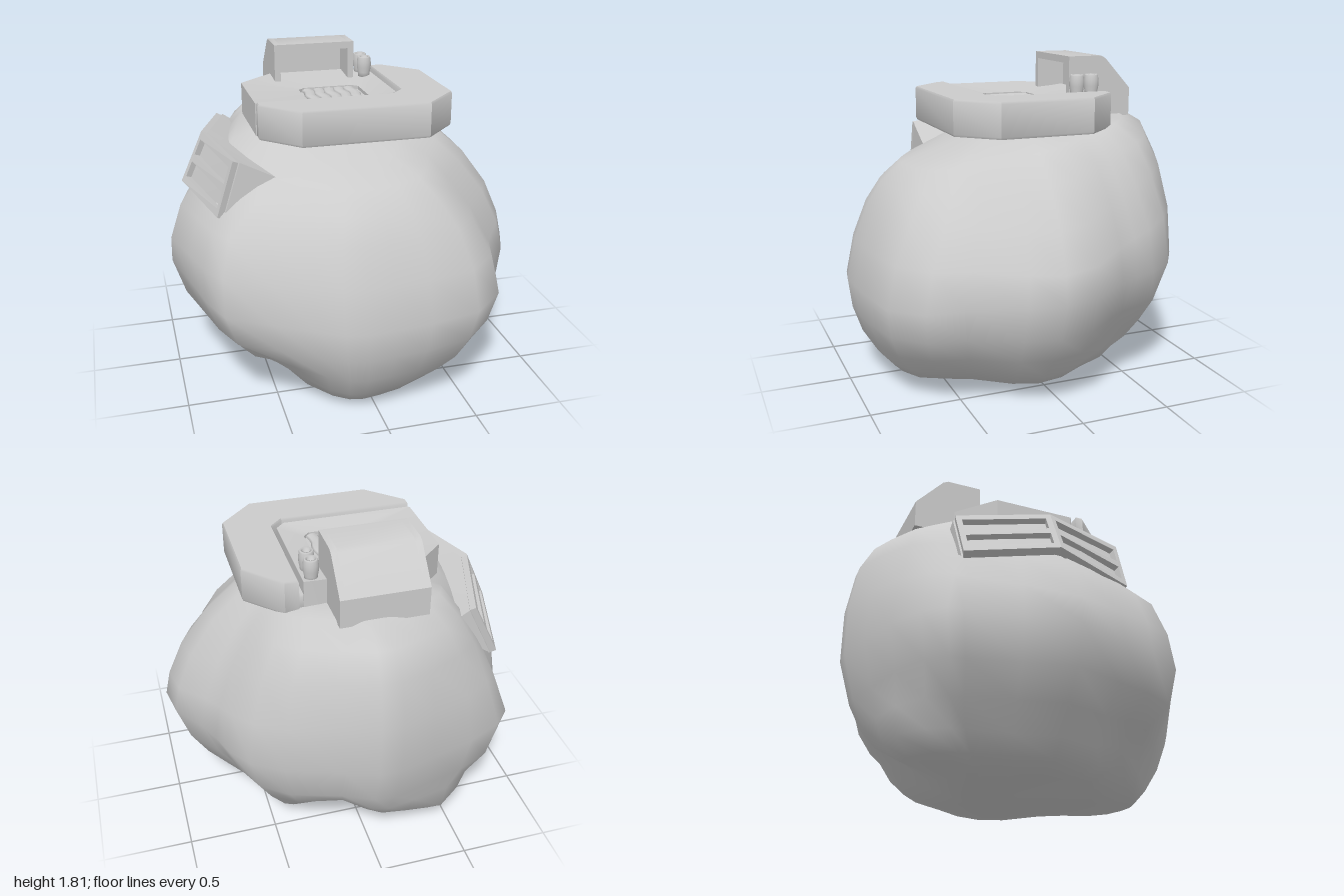
import * as THREE from 'three';
import { toCreasedNormals } from 'three/addons/utils/BufferGeometryUtils.js';

const grey = new THREE.MeshStandardMaterial({ color: 0xcccccc });

// Skin a stack of closed rings; both ends close on a point.
function loft(rings, start, end) {
  const n = rings[0].length, pos = [], idx = [];
  rings.forEach(r => r.forEach(p => pos.push(...p)));
  pos.push(...start, ...end);
  const s = rings.length * n, e = s + 1, last = s - n;
  for (let i = 0; i < n; i++) {
    const j = (i + 1) % n;
    for (let k = 0; k < rings.length - 1; k++) {
      const a = k * n + i, b = k * n + j;
      idx.push(a, a + n, b + n, a, b + n, b);
    }
    idx.push(i, j, s, last + i, e, last + j);
  }
  const g = new THREE.BufferGeometry();
  g.setAttribute('position', new THREE.Float32BufferAttribute(pos, 3));
  g.setIndex(idx);
  g.computeVertexNormals();
  return g;
}

// Upright prism from a plan outline of [x, z] points, with softened rims.
function slab(points, y0, y1) {
  const shape = new THREE.Shape(points.map(([x, z]) => new THREE.Vector2(x, -z)));
  const g = new THREE.ExtrudeGeometry(shape, {
    depth: y1 - y0 - 0.024, bevelEnabled: true, bevelThickness: 0.012,
    bevelSize: 0.006, bevelOffset: -0.006, bevelSegments: 1 });
  return toCreasedNormals(g.rotateX(-Math.PI / 2).translate(0, y0 + 0.012, 0), 0.6);
}

// Prism along x from a side profile of [z, y] points.
function sideExtrude(points, x0, x1) {
  const shape = new THREE.Shape(points.map(([z, y]) => new THREE.Vector2(-z, y)));
  const g = new THREE.ExtrudeGeometry(shape, { depth: x1 - x0, bevelEnabled: false });
  return toCreasedNormals(g.rotateY(Math.PI / 2).translate(x0, 0, 0), 0.7);
}

function rockGeometry() {
  // Plan outline, clockwise from the back
  const outline = [
    [-0.1, -0.98], [0.02, -0.97], [0.2, -0.9], [0.49, -0.8], [0.66, -0.69], [0.76, -0.54],
    [0.8, -0.42], [0.85, -0.3], [0.97, -0.1], [1, 0.1], [0.93, 0.28], [0.78, 0.55], [0.71, 0.75],
    [0.53, 0.9], [0.25, 0.95], [0.05, 0.965], [-0.1, 0.975], [-0.22, 0.955], [-0.35, 0.89],
    [-0.56, 0.78], [-0.79, 0.66], [-0.87, 0.48], [-0.92, 0.28], [-1, 0], [-0.92, -0.28],
    [-0.83, -0.55], [-0.82, -0.63], [-0.74, -0.74], [-0.55, -0.85], [-0.3, -0.92]];
  // Per ring: right reach, left reach, side height, front reach and height, back reach and height
  const levels = [
    [0.45, 0.48, 0.035, 0.5, 0.03, 0.45, 0.03],
    [0.6, 0.64, 0.065, 0.75, 0.04, 0.7, 0.08],
    [0.71, 0.73, 0.15, 0.82, 0.12, 0.8, 0.17],
    [0.84, 0.81, 0.3, 0.9, 0.25, 0.86, 0.3],
    [0.93, 0.93, 0.45, 0.95, 0.4, 0.91, 0.45],
    [1, 1, 0.66, 0.97, 0.57, 0.975, 0.7],
    [0.97, 1, 0.8, 0.92, 0.8, 0.975, 1],
    [0.89, 0.94, 1, 0.84, 1, 0.93, 1.25],
    [0.75, 0.78, 1.21, 0.76, 1.13, 0.85, 1.4],
    [0.58, 0.63, 1.36, 0.65, 1.23, 0.7, 1.485],
    [0.36, 0.45, 1.43, 0.42, 1.31, 0.5, 1.475],
    [0.15, 0.2, 1.45, 0.15, 1.43, 0.25, 1.46]];
  // Hollows and (negative depth) bulges: x, y, z, radius, depth, lift
  const dents = [
    [0.72, 0.25, -0.45, 0.25, 0.07, 0.03], [0.2, 0.1, -0.7, 0.25, 0.1, 0.1],
    [-0.02, 0.08, -0.58, 0.17, 0.04, 0.07], [-0.42, 0.08, -0.63, 0.2, -0.1, -0.02],
    [-0.57, 0.12, 0.5, 0.22, 0.12, 0.1], [0.45, 0.08, 0.6, 0.3, 0.03, 0.05],
    [-0.78, 0.6, -0.55, 0.3, -0.05, 0], [-0.7, 1.17, -0.58, 0.4, 0.11, 0],
    [0.58, 1.2, 0.5, 0.35, 0.1, 0], [0.62, 1.2, -0.5, 0.35, 0.06, 0],
    [-0.5, 1.25, 0.4, 0.2, 0.06, -0.02]];
  const rings = levels.map(([xr, xl, ys, zf, yf, zb, yb]) => outline.map(([ox, oz]) => {
    const w = Math.min(1, Math.abs(oz) / 0.975);
    const p = new THREE.Vector3(ox * (ox < 0 ? xl : xr),
      ys + w * ((oz > 0 ? yf : yb) - ys), Math.sign(oz) * w * (oz > 0 ? zf : zb));
    for (const [x, y, z, r, depth, lift] of dents) {
      const q = p.distanceTo(new THREE.Vector3(x, y, z)) / r, fall = Math.exp(-q * q);
      const f = 1 - fall * depth / 0.8;
      p.set(p.x * f, p.y + lift * fall, p.z * f);
    }
    return p.toArray();
  }));
  return loft(rings, [0.05, 0, -0.22], [0, 1.45, 0]);
}

// Frame with two long slots, fitted between four corners of a facet.
function windowFrame(b0, b1, t0, t1) {
  const rect = (C, x0, y0, x1, y1) => {
    const c = new C();
    c.moveTo(x0, y0); c.lineTo(x1, y0); c.lineTo(x1, y1); c.lineTo(x0, y1); c.closePath();
    return c;
  };
  const shape = rect(THREE.Shape, 0, 0, 1, 1);
  for (const y of [0.13, 0.57]) shape.holes.push(rect(THREE.Path, 0.06, y, 0.94, y + 0.3));
  const g = new THREE.ExtrudeGeometry(shape, { depth: 1, bevelEnabled: false });
  const [B0, B1, T0, T1] = [b0, b1, t0, t1].map(p => new THREE.Vector3(...p));
  const normal = B1.clone().sub(B0).cross(T0.clone().sub(B0)).normalize();
  const pos = g.attributes.position;
  for (let i = 0; i < pos.count; i++) {
    const s = pos.getX(i), t = pos.getY(i), d = pos.getZ(i);
    const p = B0.clone().lerp(B1, s).lerp(T0.clone().lerp(T1, s), t);
    p.addScaledVector(normal, (d - 1) * 0.045);
    pos.setXYZ(i, p.x, p.y, p.z);
  }
  g.computeVertexNormals();
  return g;
}

export function createModel() {
  const model = new THREE.Group();
  const add = (name, geometry, parent = model) => {
    const m = new THREE.Mesh(geometry, grey);
    m.name = name;
    parent.add(m);
  };
  const group = name => {
    const g = new THREE.Group();
    g.name = name;
    model.add(g);
    return g;
  };

  add('asteroid', rockGeometry());

  // Landing platform: base, raised L-shaped rim and dished floor
  const platform = group('platform');
  add('platformBase', slab([[-0.51, -0.26], [-0.31, -0.435], [0.38, -0.435], [0.555, -0.25],
    [0.555, 0.28], [0.375, 0.465], [-0.325, 0.465], [-0.51, 0.27]], 1.432, 1.53), platform);
  add('platformRim', slab([[-0.52, 0.235], [0.235, 0.235], [0.305, 0.165], [0.305, -0.445],
    [0.38, -0.445], [0.565, -0.25], [0.565, 0.28], [0.375, 0.475], [-0.325, 0.475],
    [-0.52, 0.28]], 1.43, 1.625), platform);
  const outer = [[-0.52, 0.2], [-0.52, -0.26], [-0.315, -0.445], [0.2, -0.445],
    [0.28, -0.44], [0.28, 0.16], [0.23, 0.21], [-0.51, 0.21]];
  const inner = [[-0.21, 0.08], [-0.21, -0.13], [-0.17, -0.165], [0.11, -0.165],
    [0.145, -0.13], [0.145, 0.08], [0.11, 0.115], [-0.17, 0.115]];
  const at = (pts, y) => pts.map(([x, z]) => [x, y, z]);
  add('platformFloor', toCreasedNormals(loft(
    [at(outer, 1.43), at(outer, 1.61), at(inner, 1.58), at(inner, 1.56)],
    [-0.1, 1.43, -0.1], [-0.03, 1.56, -0.03]), 0.4), platform);

  // Broad wavy strips in the floor grate
  for (let i = 0; i < 5; i++) {
    const x = -0.157 + i * 0.0625;
    const path = new THREE.CatmullRomCurve3([0, 1, 2, 3, 4, 5, 6].map(k =>
      new THREE.Vector3(x + 0.006 * Math.sin(k * 1.6 + i), 0, -0.155 + k * 0.0433)));
    const bar = new THREE.TubeGeometry(path, 20, 0.033, 8).scale(1, 0.45, 1).translate(0, 1.564, 0);
    add('grateStrip', bar, platform);
  }

  // Hangar: two solid side walls around a hollow middle
  const hangar = group('hangar');
  const roof = [[-0.29, 1.81], [-0.49, 1.81], [-0.52, 1.795], [-0.68, 1.62], [-0.68, 1.46], [-0.29, 1.46]];
  const hollow = [...roof, [-0.29, 1.575], [-0.46, 1.575], [-0.46, 1.77], [-0.29, 1.77]];
  add('hangarWall', sideExtrude(roof, -0.315, -0.28), hangar);
  add('hangarWall', sideExtrude(roof, 0.125, 0.16), hangar);
  add('hangarMiddle', sideExtrude(hollow, -0.28, 0.125), hangar);

  // Pair of barrel tanks with open tops
  const barrel = [[0, 1.58], [0.034, 1.58], [0.036, 1.62], [0.042, 1.65], [0.042, 1.68], [0.038, 1.708],
    [0.034, 1.715], [0.022, 1.712], [0.02, 1.685], [0, 1.685]].map(p => new THREE.Vector2(...p));
  for (const z of [-0.395, -0.305])
    add('tank', new THREE.LatheGeometry(barrel, 16).translate(0.23, 0, z));

  // Observation windows on the side of the rock
  const lookout = group('observationWindows');
  const bottom = [[-0.785, 1.055, -0.55], [-0.91, 1.12, -0.06], [-0.775, 1.06, 0.4]];
  const top = [[-0.635, 1.36, -0.55], [-0.785, 1.4, -0.06], [-0.68, 1.365, 0.4]];
  const sink = [0.035, -0.01, 0];
  const shift = p => p.map((v, i) => v + sink[i]);
  const sections = [0, 1, 2].map(i => [shift(bottom[i]), shift(top[i]), [-0.44, 1.25, bottom[i][2]]]);
  add('windowHousing', toCreasedNormals(
    loft(sections, [-0.6, 1.22, -0.55], [-0.6, 1.22, 0.4]), 0.2), lookout);
  for (const i of [0, 1])
    add('windowFrame', windowFrame(bottom[i], bottom[i + 1], top[i], top[i + 1]), lookout);

  return model;
}
